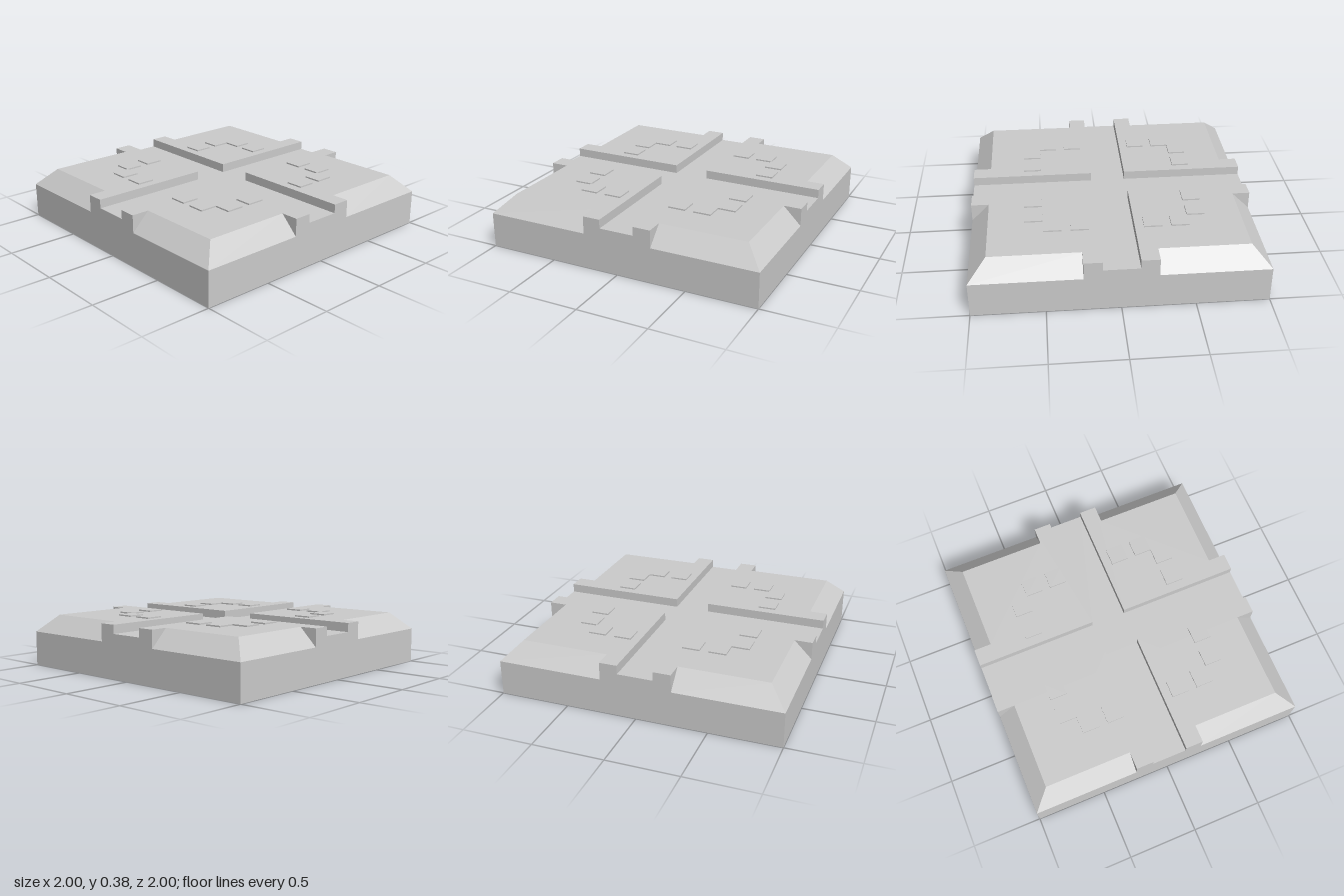
import * as THREE from 'three';

const material = new THREE.MeshStandardMaterial({ color: 0xcccccc, flatShading: true });

const BASE = 0.25, FLOOR = 0.3125, TOP = 0.375; // heights
const GROOVE = 0.125, CURB = 0.25, BEVEL = 0.125; // plan distances
const TILE = 0.125, TILE_H = 0.01;

function add(parent, name, geometry) {
  const mesh = new THREE.Mesh(geometry, material);
  mesh.name = name;
  parent.add(mesh);
  return mesh;
}

// Prism with an (x, z) outline between two heights
function prism(points, y0, y1) {
  const shape = new THREE.Shape(points.map(([x, z]) => new THREE.Vector2(x, z)));
  return new THREE.ExtrudeGeometry(shape, { depth: y1 - y0, bevelEnabled: false })
    .rotateX(Math.PI / 2)
    .translate(0, y1, 0);
}

// Raised block whose two outer sides slope inward with a mitred corner
function bevelledBlock() {
  const size = 1 - CURB, mid = (1 + CURB) / 2;
  const geometry = new THREE.BoxGeometry(size, TOP - BASE, size)
    .translate(mid, (BASE + TOP) / 2, mid);
  const p = geometry.attributes.position;
  for (let i = 0; i < p.count; i++) {
    if (p.getY(i) < TOP - 0.01) continue;
    p.setX(i, Math.min(p.getX(i), 1 - BEVEL));
    p.setZ(i, Math.min(p.getZ(i), 1 - BEVEL));
  }
  geometry.computeVertexNormals();
  return geometry;
}

function createCorner() {
  const corner = new THREE.Group();
  corner.name = 'cornerPlateau';
  add(corner, 'bevelledBlock', bevelledBlock());

  // L-shaped curb along the grooves, running out to the slab edge
  const g = GROOVE, c = CURB;
  add(corner, 'curb', prism([[g, g], [1, g], [1, c], [c, c], [c, 1], [g, 1]], BASE, TOP));

  // Thin square studs
  for (const [x, z] of [[0.25, 0.5625], [0.4375, 0.5625], [0.5625, 0.4375], [0.5625, 0.25]]) {
    add(corner, 'stud', new THREE.BoxGeometry(TILE, TILE_H, TILE))
      .position.set(x, TOP + TILE_H / 2, z);
  }
  return corner;
}

export function createModel() {
  const model = new THREE.Group();
  model.name = 'crossGroovedTile';

  add(model, 'baseSlab', new THREE.BoxGeometry(2, BASE, 2)).position.y = BASE / 2;

  // Cross-shaped groove floor
  const g = GROOVE;
  add(model, 'grooveFloor', prism([
    [g, g], [g, 1], [-g, 1], [-g, g], [-1, g], [-1, -g],
    [-g, -g], [-g, -1], [g, -1], [g, -g], [1, -g], [1, g],
  ], BASE, FLOOR));

  // Four identical corners turned about the centre
  for (let i = 0; i < 4; i++) {
    const corner = createCorner();
    corner.rotation.y = i * Math.PI / 2;
    model.add(corner);
  }
  return model;
}
